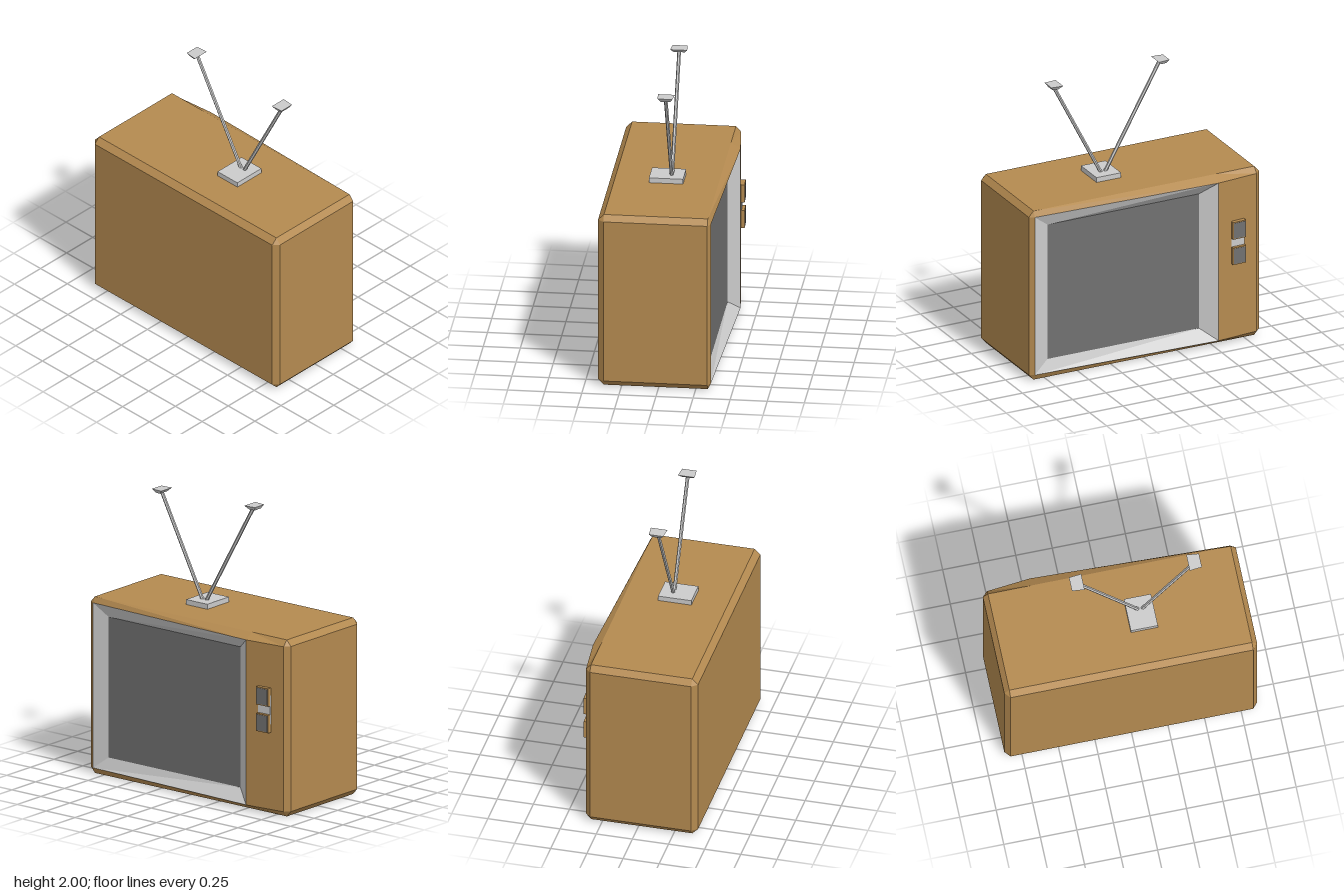
import * as THREE from 'three';

const material = (color) => new THREE.MeshStandardMaterial({ color, flatShading: true });

// Flat-shaded geometry from four-cornered faces (counter-clockwise from outside)
function quads(faces) {
  const pos = [];
  for (const [a, b, c, d] of faces) pos.push(...a, ...b, ...c, ...a, ...c, ...d);
  const g = new THREE.BufferGeometry();
  g.setAttribute('position', new THREE.Float32BufferAttribute(pos, 3));
  g.computeVertexNormals();
  return g;
}

export function createModel() {
  const group = new THREE.Group();
  const wood = material(0xb48a50);
  const grey = material(0xcccccc);
  const dark = material(0x707070);

  const add = (name, geometry, mat, x = 0, y = 0, z = 0) => {
    const mesh = new THREE.Mesh(geometry, mat);
    mesh.name = name;
    mesh.position.set(x, y, z);
    group.add(mesh);
    return mesh;
  };

  // Cabinet outline: chamfered rectangle, with extra points at the panel crease
  const W = 0.865, w = 0.83, H = 1.23, lo = 0.04, hi = 1.19, crease = -0.53;
  const outer = [[crease, 0], [w, 0], [W, lo], [W, hi], [w, H],
    [crease, H], [-w, H], [-W, hi], [-W, lo], [-w, 0]];
  const inner = [[crease, lo], [w, lo], [w, lo], [w, hi], [w, hi],
    [crease, hi], [-w, hi], [-w, hi], [-w, lo], [-w, lo]];
  // The screen side bulges towards the crease
  const backZ = (x) => (x === crease ? -0.395 : x > 0 ? -0.35 : -0.365);
  const rings = [
    inner.map(([x, y]) => [x, y, 0.41]),
    outer.map(([x, y]) => [x, y, 0.37]),
    outer.map(([x, y]) => [x, y, -0.33]),
    inner.map(([x, y]) => [x, y, backZ(x)]),
  ];
  const shell = [];
  for (let r = 0; r < 3; r++) {
    for (let i = 0; i < 10; i++) {
      const j = (i + 1) % 10;
      shell.push([rings[r][i], rings[r + 1][i], rings[r + 1][j], rings[r][j]]);
    }
  }
  shell.push([[-w, lo, 0.41], [w, lo, 0.41], [w, hi, 0.41], [-w, hi, 0.41]]);
  // Control panel beside the screen
  const zc = backZ(crease), zp = backZ(-w);
  shell.push([[crease, lo, zc], [-w, lo, zp], [-w, hi, zp], [crease, hi, zc]]);
  add('cabinet', quads(shell), wood);

  // Sloping bezel and recessed screen
  const rim = [[w, lo, -0.35], [crease, lo, zc], [crease, hi, zc], [w, hi, -0.35]];
  const glass = [[0.72, 0.125], [-0.42, 0.125], [-0.42, 1.105], [0.72, 1.105]]
    .map(([x, y]) => [x, y, -0.32]);
  add('screenBezel', quads(rim.map((p, i) => {
    const j = (i + 1) % 4;
    return [p, rim[j], glass[j], glass[i]];
  })), grey);
  add('screen', quads([glass]), dark);

  // Two square channel knobs on a thin plate
  const tilt = Math.atan2(zp - zc, w + crease) * 0.4;
  add('knobPlate', new THREE.BoxGeometry(0.1, 0.2, 0.03), grey, -0.68, 0.735, -0.372).rotation.y = tilt;
  for (const [name, y] of [['upperKnob', 0.825], ['lowerKnob', 0.64]]) {
    add(name, new THREE.BoxGeometry(0.1, 0.125, 0.05), wood, -0.68, y, -0.384).rotation.y = tilt;
    add(name + 'Face', new THREE.BoxGeometry(0.088, 0.112, 0.004), dark, -0.68, y, -0.409).rotation.y = tilt;
  }

  // Antenna: base, two rods and flared tips
  add('antennaBase', new THREE.BoxGeometry(0.185, 0.036, 0.23), grey, 0.143, 1.247, 0.02);
  const rodZ = -0.01;
  const aerials = [
    { name: 'rightAntenna', foot: [0.13, 1.255], end: [-0.28, 1.98], tip: [-0.29, 1.987], out: -1 },
    { name: 'leftAntenna', foot: [0.158, 1.255], end: [0.515, 1.95], tip: [0.514, 1.956], out: 1 },
  ];
  for (const { name, foot, end, tip, out } of aerials) {
    const a = new THREE.Vector3(...foot, rodZ), b = new THREE.Vector3(...end, rodZ);
    const dir = b.clone().sub(a);
    const rod = add(name + 'Rod', new THREE.CylinderGeometry(0.0125, 0.0125, dir.length(), 6), grey);
    rod.position.copy(a).lerp(b, 0.5);
    rod.quaternion.setFromUnitVectors(new THREE.Vector3(0, 1, 0), dir.normalize());

    // Tip narrows downwards and slightly towards its outer end
    const g = new THREE.BoxGeometry(0.085, 0.027, 0.11);
    const p = g.attributes.position;
    for (let i = 0; i < p.count; i++) {
      const under = p.getY(i) < 0;
      const isOuter = p.getX(i) * out > 0;
      p.setZ(i, p.getZ(i) * (isOuter ? 0.9 : 1.05) * (under ? 0.65 : 1));
      if (under) p.setX(i, p.getX(i) * 0.45 + 0.006 * -out * -1);
    }
    g.computeVertexNormals();
    add(name + 'Tip', g, grey, tip[0], tip[1], rodZ);
  }
  return group;
}
